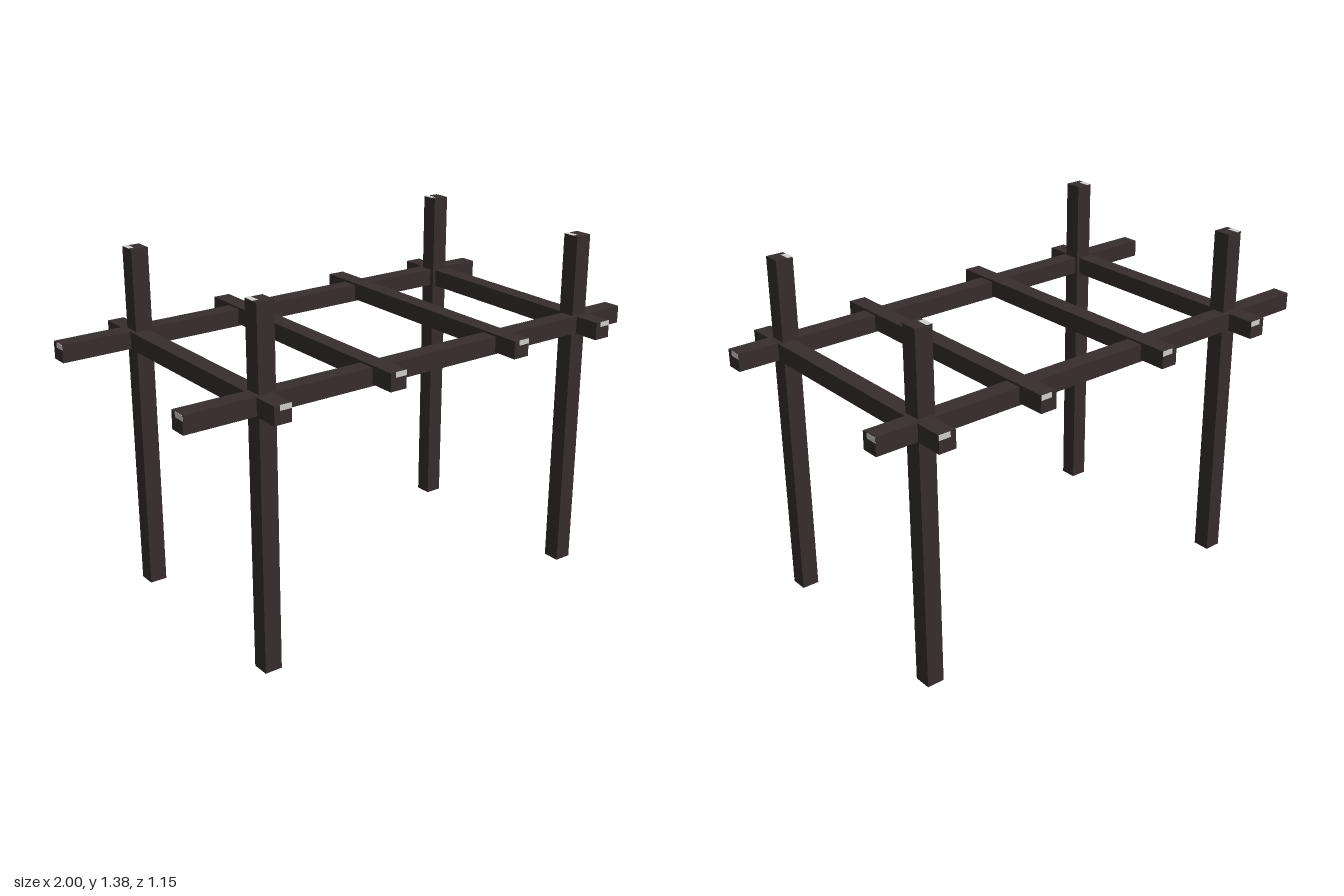
import * as THREE from 'three';

export function createModel() {
  const group = new THREE.Group();
  const wood = new THREE.MeshStandardMaterial({ color: 0x372d2e });
  wood.name = 'darkTimber';
  const pale = new THREE.MeshStandardMaterial({ color: 0xd2d0cd });
  pale.name = 'paleEndGrain';

  const W = 0.069; // timber thickness
  const T = 0.002; // thickness of the pale end chips

  function box(name, size, pos, material, parent) {
    const mesh = new THREE.Mesh(new THREE.BoxGeometry(...size), material);
    mesh.name = name;
    mesh.position.set(...pos);
    parent.add(mesh);
  }

  // A square timber along one axis, with a pale chip in one corner of each end.
  // chip: [width, height] across the end; side: corner signs at the two ends.
  function timber(name, axis, length, centre, chip, sides) {
    const part = new THREE.Group();
    part.name = name;
    part.position.set(...centre);
    const size = [W, W, W];
    size[axis] = length;
    box('timber', size, [0, 0, 0], wood, part);
    [1, -1].forEach((end, i) => {
      const chipSize = [...chip];
      chipSize[axis] = T;
      const pos = [0, 1, 2].map((k) => (k === axis
        ? end * length / 2
        : sides[i][k] * (W - chipSize[k]) / 2));
      box('endChip', chipSize, pos, pale, part);
    });
    group.add(part);
  }

  // Four uprights
  for (const x of [-0.671, 0.785]) {
    for (const z of [0.428, -0.411]) {
      timber('post', 1, 1.38, [x, 0.69, z], [0.022, 0, 0.046],
        [[-1, 0, -1], [-1, 0, -1]]);
    }
  }

  // Two long side beams
  for (const z of [0.438, -0.429]) {
    timber('longBeam', 0, 1.998, [0, 1.03, z], [0, 0.02, 0.046],
      [[0, 1, -1], [0, 1, 1]]);
  }

  // Four cross beams, the inner two set slightly higher
  const crossBeams = [[-0.686, 1.028], [-0.207, 1.038], [0.372, 1.038], [0.8, 1.028]];
  for (const [x, y] of crossBeams) {
    timber('crossBeam', 2, 1.152, [x, y, 0], [0.047, 0.02, 0],
      [[1, 1, 0], [1, 1, 0]]);
  }

  return group;
}
